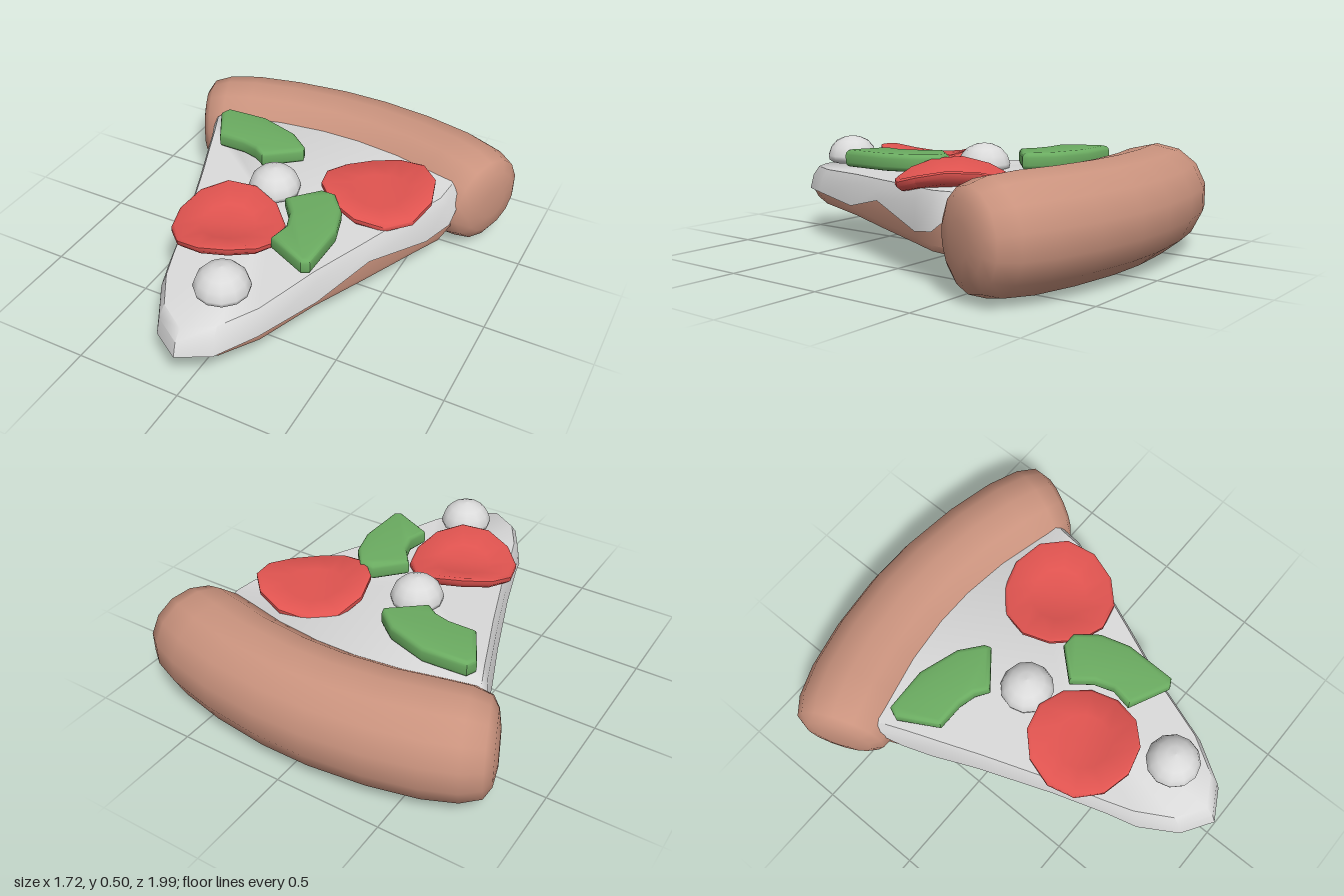
import * as THREE from 'three';
import { toCreasedNormals } from 'three/addons/utils/BufferGeometryUtils.js';

const paint = (name, color) => {
  const m = new THREE.MeshStandardMaterial({ color });
  m.name = name;
  return m;
};

// Closed skin over a stack of rings, with a fan at each end
function loft(rings, crease) {
  const n = rings[0].length, pos = rings.flat(2), idx = [];
  const middle = r => [0, 1, 2].map(k => r.reduce((s, p) => s + p[k], 0) / n);
  const last = (rings.length - 1) * n, c0 = rings.length * n, c1 = c0 + 1;
  pos.push(...middle(rings[0]), ...middle(rings[rings.length - 1]));
  for (let i = 0; i < n; i++) {
    const j = (i + 1) % n;
    for (let a = 0; a < last; a += n) {
      idx.push(a + i, a + j, a + n + j, a + i, a + n + j, a + n + i);
    }
    idx.push(c0, j, i, c1, last + i, last + j);
  }
  const g = new THREE.BufferGeometry();
  g.setAttribute('position', new THREE.Float32BufferAttribute(pos, 3));
  g.setIndex(idx);
  return toCreasedNormals(g, crease);
}

// Slice outline: x, z, and height of the melted cheese edge
const outline = [
  [0, 1, 0.225], [0.14, 0.92, 0.225], [0.25, 0.74, 0.235], [0.36, 0.42, 0.215],
  [0.48, 0.14, 0.285], [0.62, -0.2, 0.21], [0.68, -0.34, 0.235], [0.69, -0.47, 0.33],
  [0.6, -0.7, 0.33], [-0.6, -0.7, 0.33], [-0.69, -0.47, 0.33], [-0.635, -0.34, 0.22],
  [-0.58, -0.2, 0.2], [-0.5, 0, 0.235], [-0.37, 0.35, 0.25], [-0.29, 0.6, 0.26],
  [-0.24, 0.74, 0.21], [-0.14, 0.91, 0.22],
];
const ring = (scale, height) => outline.map(([x, z, edge]) => {
  const pz = 0.1 + (z - 0.1) * scale;
  return [x * scale, height(pz, edge), pz];
});
const cheeseTop = z => 0.381 - 0.045 * z;

// Fat rounded crust bent along an arc around a point in front of the tip
function crustGeometry() {
  const half = [[3, 0.25], [10, 0.25], [16, 0.25], [20, 0.24], [22.4, 0.212], [23.3, 0.16], [23.7, 0.08]];
  const stations = [...half.map(([a, r]) => [-a, r]).reverse(), ...half];
  return loft(stations.map(([deg, r]) => {
    const phi = THREE.MathUtils.degToRad(deg);
    return Array.from({ length: 14 }, (_, i) => {
      const a = i / 14 * Math.PI * 2;
      const reach = 2.02 - r * Math.sin(a);
      return [reach * Math.sin(phi), 0.25 + r * Math.cos(a), 1.27 - reach * Math.cos(phi)];
    });
  }), 1);
}

// Thin disc curled up along one direction
function curledSlice(radius, angle) {
  const profile = [
    [0, 0], [0.5, 0], [0.92, 0], [1, 0.016], [1, 0.036], [0.94, 0.05], [0.5, 0.05], [0, 0.05],
  ].map(([r, y]) => new THREE.Vector2(r * radius, y));
  const g = new THREE.LatheGeometry(profile, 12);
  const p = g.attributes.position;
  for (let i = 0; i < p.count; i++) {
    const u = (p.getX(i) * Math.cos(angle) + p.getZ(i) * Math.sin(angle)) / radius;
    p.setY(i, p.getY(i) + 0.072 * u * u);
  }
  g.computeVertexNormals();
  return toCreasedNormals(g, 0.9);
}

// Flat piece with soft edges, drawn as x,z points
function pepperGeometry(points) {
  const shape = new THREE.Shape(points.map(([x, z]) => new THREE.Vector2(x, -z)));
  const g = new THREE.ExtrudeGeometry(shape, {
    depth: 0.036, bevelThickness: 0.022, bevelSize: 0.022, bevelOffset: -0.022, bevelSegments: 3,
  });
  g.rotateX(-Math.PI / 2);
  return toCreasedNormals(g, 0.9);
}

export function createModel() {
  const model = new THREE.Group();
  model.name = 'pizzaSlice';
  const crustBrown = paint('crustBrown', 0xca937e);
  const cheeseWhite = paint('cheeseWhite', 0xdadada);
  const sausageRed = paint('sausageRed', 0xe15450);
  const pepperGreen = paint('pepperGreen', 0x6bac61);

  const add = (name, geometry, material, x = 0, y = 0, z = 0) => {
    const mesh = new THREE.Mesh(geometry, material);
    mesh.name = name;
    mesh.position.set(x, y, z);
    model.add(mesh);
  };

  add('crust', crustGeometry(), crustBrown);

  // Dough wedge, hidden under the cheese at its top
  add('dough', loft([
    ring(0.94, z => 0.155 + 0.033 * z),
    ring(0.965, z => 0.185 + 0.033 * z),
    ring(0.95, () => 0.3),
  ], 0.7), crustBrown);

  // Cheese sheet with a dripping rim
  add('cheese', loft([
    ring(0.93, (z, edge) => edge + 0.01),
    ring(1, (z, edge) => edge),
    ring(0.975, z => cheeseTop(z) - 0.045),
    ring(0.93, cheeseTop),
  ], 0.9), cheeseWhite);

  // Toppings
  add('sausageSliceBack', curledSlice(0.265, -0.7), sausageRed, 0.36, 0.356, -0.21);
  add('sausageSliceFront', curledSlice(0.255, 1.15), sausageRed, -0.13, 0.356, 0.33);

  add('pepperBack', pepperGeometry([
    [-0.59, -0.38], [-0.57, -0.43], [-0.36, -0.44], [-0.17, -0.38], [-0.07, -0.3], [-0.06, -0.27],
    [-0.22, -0.14], [-0.28, -0.18], [-0.36, -0.2], [-0.49, -0.2],
  ]), pepperGreen, 0, 0.417, 0);
  add('pepperFront', pepperGeometry([
    [0.16, -0.02], [0.23, -0.02], [0.31, 0.08], [0.35, 0.22], [0.345, 0.46], [0.31, 0.48],
    [0.12, 0.39], [0.14, 0.29], [0.11, 0.2], [0.04, 0.11],
  ]), pepperGreen, 0, 0.417, 0);

  const dome = [
    [0, 0], [0.1, 0], [0.12, 0.015], [0.124, 0.035], [0.11, 0.075], [0.08, 0.108], [0.04, 0.126], [0, 0.132],
  ].map(([r, y]) => new THREE.Vector2(r, y));
  for (const [name, x, z] of [['mushroomBack', -0.09, -0.03], ['mushroomFront', 0.057, 0.695]]) {
    add(name, new THREE.LatheGeometry(dome, 12), cheeseWhite, x, 0.373, z);
  }
  return model;
}
